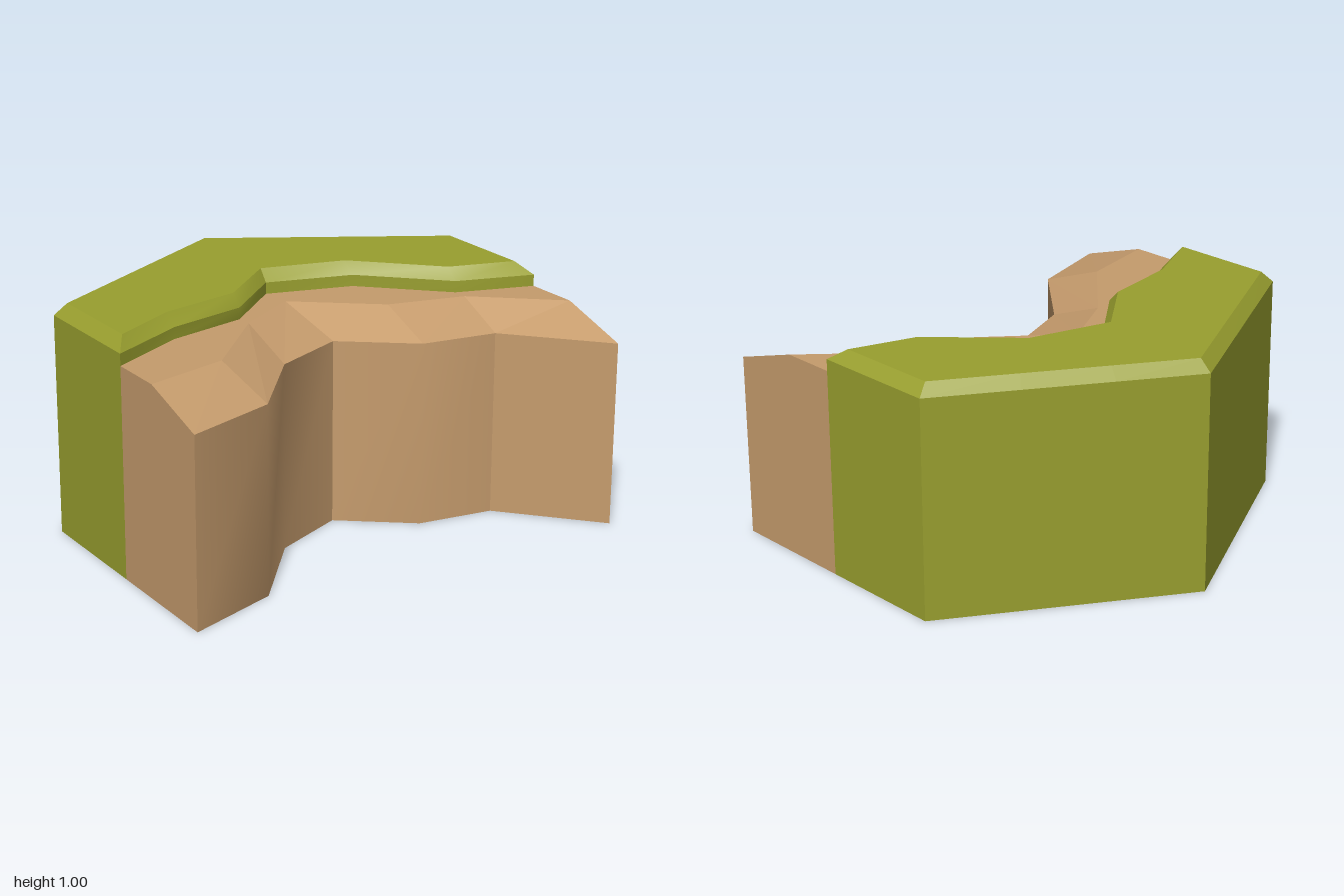
import * as THREE from 'three';
import { toCreasedNormals } from 'three/addons/utils/BufferGeometryUtils.js';

const rock = new THREE.MeshStandardMaterial({ color: 0xc69c6d });
rock.name = 'rock tan';
const grass = new THREE.MeshStandardMaterial({ color: 0x999f2f });
grass.name = 'grass olive';

// A line of [x, z] points lifted to height y
const line = (y, pts) => pts.map(([x, z]) => [x, y, z]);

// A symmetrical V: z at the middle, z at the ends, half width w
const STEPS = [-1, -0.66, -0.33, 0, 0.33, 0.66, 1];
const vee = (y, w, mid, end) => STEPS.map(t => [t * w, y, mid + (end - mid) * Math.abs(t)]);

function meshFrom(name, tris, material, crease) {
  const g = new THREE.BufferGeometry();
  g.setAttribute('position', new THREE.Float32BufferAttribute(tris.flat(), 3));
  g.computeVertexNormals();
  const mesh = new THREE.Mesh(crease ? toCreasedNormals(g, crease) : g, material);
  mesh.name = name;
  return mesh;
}

// Surface between two lines running left to right
function strip(name, a, b, material, crease = 0) {
  const tris = [];
  for (let i = 0; i < a.length - 1; i++) {
    tris.push(a[i], a[i + 1], b[i + 1], a[i], b[i + 1], b[i]);
  }
  return meshFrom(name, tris, material, crease);
}

// Convex flat face, given for the +x side and mirrored for the -x side
function sideFace(name, pts, material, s) {
  const p = pts.map(([x, y, z]) => [x * s, y, z]);
  if (s < 0) p.reverse();
  const tris = [];
  for (let i = 1; i < p.length - 1; i++) tris.push(p[0], p[i], p[i + 1]);
  return meshFrom(name, tris, material, 0);
}

export function createModel() {
  const model = new THREE.Group();
  model.name = 'cliffCornerTile';
  const crease = THREE.MathUtils.degToRad(35);

  // Rock outlines, from the foot of the cliff up to the grass
  const foot = [[-1, 0.86], [-0.6, 0.72], [-0.3, 0.355], [0.025, 0.21], [0.32, 0.435], [0.655, 0.48], [1, 0.86]];
  const ledge = [[-1, 0.535], [-0.635, 0.435], [-0.305, 0.085], [-0.02, -0.09], [0.32, 0.175], [0.66, 0.25], [1, 0.535]];
  // Grass outlines: lower lip and bevelled top edge
  const lip = [[-1, 0.285], [-0.66, 0.105], [-0.31, 0.02], [-0.035, -0.225], [0.34, -0.125], [0.66, 0.185], [1, 0.285]];
  const rim = [[-0.95, 0.21], [-0.66, 0.05], [-0.31, -0.03], [-0.03, -0.275], [0.34, -0.185], [0.66, 0.13], [0.95, 0.21]];

  const seam = vee(0, 1, -0.485, 0.285);      // where rock and grass meet underneath
  const backTop = vee(1, 0.95, -0.81, -0.265);
  const backEdge = vee(0.95, 1, -0.865, -0.29);
  const backFoot = vee(0, 1, -0.865, -0.29);

  // Cliff
  const cliff = new THREE.Group();
  cliff.name = 'cliff';
  cliff.add(
    strip('cliffBase', seam, line(0, foot), rock),
    strip('cliffWall', line(0, foot), line(0.8, foot), rock, crease),
    strip('cliffSlope', line(0.8, foot), line(0.9, ledge), rock),
    strip('cliffLedge', line(0.9, ledge), line(0.9, lip), rock),
  );

  // Grass block
  const turf = new THREE.Group();
  turf.name = 'grassBlock';
  turf.add(
    strip('grassLip', line(0.9, lip), line(0.95, lip), grass, crease),
    strip('grassFrontBevel', line(0.95, lip), line(1, rim), grass, crease),
    strip('grassTop', line(1, rim), backTop, grass),
    strip('grassBackBevel', backTop, backEdge, grass),
    strip('grassBackWall', backEdge, backFoot, grass),
    strip('grassBase', backFoot, seam, grass),
  );

  // End walls on both sides
  for (const s of [1, -1]) {
    const side = s > 0 ? 'left' : 'right';
    cliff.add(sideFace(side + 'CliffEnd',
      [[1, 0.9, 0.285], [1, 0.9, 0.535], [1, 0.8, 0.86], [1, 0, 0.86], [1, 0, 0.285]], rock, s));
    turf.add(
      sideFace(side + 'GrassEnd',
        [[1, 0, 0.285], [1, 0, -0.29], [1, 0.95, -0.29], [1, 0.95, 0.285]], grass, s),
      sideFace(side + 'GrassBevel',
        [[1, 0.95, 0.285], [1, 0.95, -0.29], [0.95, 1, -0.265], [0.95, 1, 0.21]], grass, s),
    );
  }

  model.add(cliff, turf);
  return model;
}
